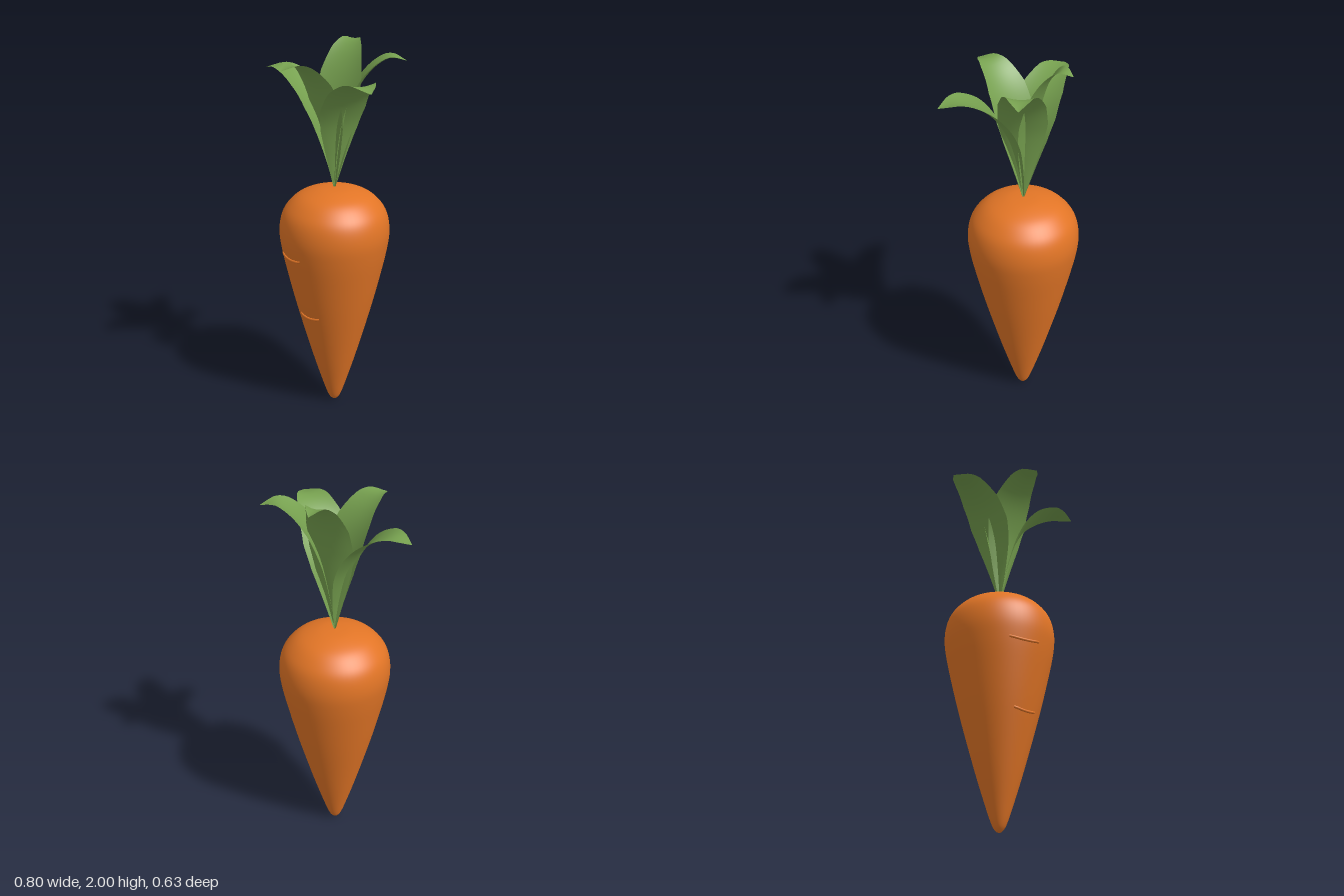
import * as THREE from 'three';

const CX = -0.01, CZ = -0.025, BASE_Y = 1.265;

// Half profile of the root, tip to crown
const ROOT = [
  [0, 0.005], [0.02, 0.018], [0.04, 0.055], [0.075, 0.16], [0.125, 0.325], [0.197, 0.585],
  [0.246, 0.785], [0.277, 0.93], [0.288, 1.03], [0.275, 1.115], [0.24, 1.175], [0.18, 1.225],
  [0.09, 1.255], [0, 1.262],
];

// Leaf midrib as fractions of reach and height, and half widths along its length
const MIDRIB = [[0, 0], [0.085, 0.32], [0.21, 0.61], [0.4, 0.83], [0.6, 0.95], [0.78, 1], [1, 0.975]];
const HALF_WIDTHS = [[0, 0.006], [0.28, 0.072], [0.4, 0.1], [0.54, 0.121], [0.7, 0.113], [0.86, 0.079], [0.93, 0.048], [1, 0.001]];

function halfWidth(t) {
  let i = 1;
  while (i < HALF_WIDTHS.length - 1 && t > HALF_WIDTHS[i][0]) i++;
  const [t0, w0] = HALF_WIDTHS[i - 1], [t1, w1] = HALF_WIDTHS[i];
  return w0 + (w1 - w0) * (t - t0) / (t1 - t0);
}

// Arching leaf that grows from the crown to a tip at (tipX, tipZ), gently channelled along its middle
function leafGeometry(tipX, tipZ, height) {
  const dx = tipX - CX, dz = tipZ - CZ;
  const reach = Math.hypot(dx, dz);
  const out = new THREE.Vector3(dx / reach, 0, dz / reach);
  const up = new THREE.Vector3(0, 1, 0);
  const side = new THREE.Vector3().crossVectors(up, out);
  const curve = new THREE.CatmullRomCurve3(MIDRIB.map(([o, h]) =>
    new THREE.Vector3(CX, BASE_Y + h * height, CZ).addScaledVector(out, o * reach)));

  const rows = 40, cols = 12;
  const geo = new THREE.PlaneGeometry(1, 1, cols, rows);
  const pos = geo.attributes.position;
  for (let r = 0; r <= rows; r++) {
    const t = r / rows;
    const center = curve.getPointAt(t);
    const inner = new THREE.Vector3().crossVectors(curve.getTangentAt(t), side);
    const w = halfWidth(t);
    for (let c = 0; c <= cols; c++) {
      const s = (c / cols) * 2 - 1;
      const p = center.clone().addScaledVector(side, s * w).addScaledVector(inner, 0.16 * w * s * s);
      pos.setXYZ(r * (cols + 1) + c, p.x, p.y, p.z);
    }
  }
  geo.computeVertexNormals();
  return geo;
}

export function createModel() {
  const orange = new THREE.MeshStandardMaterial({ color: 0xe27526 });
  orange.name = 'carrotOrange';
  const green = new THREE.MeshStandardMaterial({ color: 0x76a04f, side: THREE.DoubleSide });
  green.name = 'leafGreen';

  const model = new THREE.Group();
  model.name = 'carrot';
  const add = (name, geometry, material) => {
    const mesh = new THREE.Mesh(geometry, material);
    mesh.name = name;
    model.add(mesh);
    return mesh;
  };

  // Root
  const profile = new THREE.SplineCurve(ROOT.map(([x, y]) => new THREE.Vector2(x, y))).getPoints(78);
  profile.forEach((p) => { p.x = Math.max(p.x, 0); });
  add('root', new THREE.LatheGeometry(profile, 64), orange).position.set(CX, 0, CZ);

  // Raised curved ridges on the front of the root
  const radiusAt = (y) => {
    const i = profile.findIndex((p) => p.y >= y);
    const a = profile[i - 1], b = profile[i];
    return a.x + (b.x - a.x) * (y - a.y) / (b.y - a.y);
  };
  for (const [name, x0, x1, y] of [['upperRidge', -0.122, 0.042, 0.92], ['lowerRidge', -0.053, 0.077, 0.578]]) {
    const points = [];
    for (let i = 0; i <= 8; i++) {
      const s = i / 4 - 1;
      const x = (x0 + x1) / 2 + s * (x1 - x0) / 2;
      const py = y + 0.01 * s * s;
      const dx = x - CX;
      points.push(new THREE.Vector3(x, py, CZ + Math.sqrt(radiusAt(py) ** 2 - dx * dx) + 0.001 - 0.004 * s ** 8));
    }
    add(name, new THREE.TubeGeometry(new THREE.CatmullRomCurve3(points), 32, 0.007, 10), orange);
  }

  // Leaves: tip x, tip z, height above the crown
  const leaves = [
    ['frontLeaf', 0, 0.312, 0.665],
    ['rightLeaf', -0.402, 0.115, 0.588],
    ['leftLeaf', 0.402, 0.1, 0.595],
    ['backLeftLeaf', 0.236, -0.28, 0.675],
    ['backRightLeaf', -0.113, -0.256, 0.73],
  ];
  for (const [name, x, z, height] of leaves) add(name, leafGeometry(x, z, height), green);

  return model;
}
